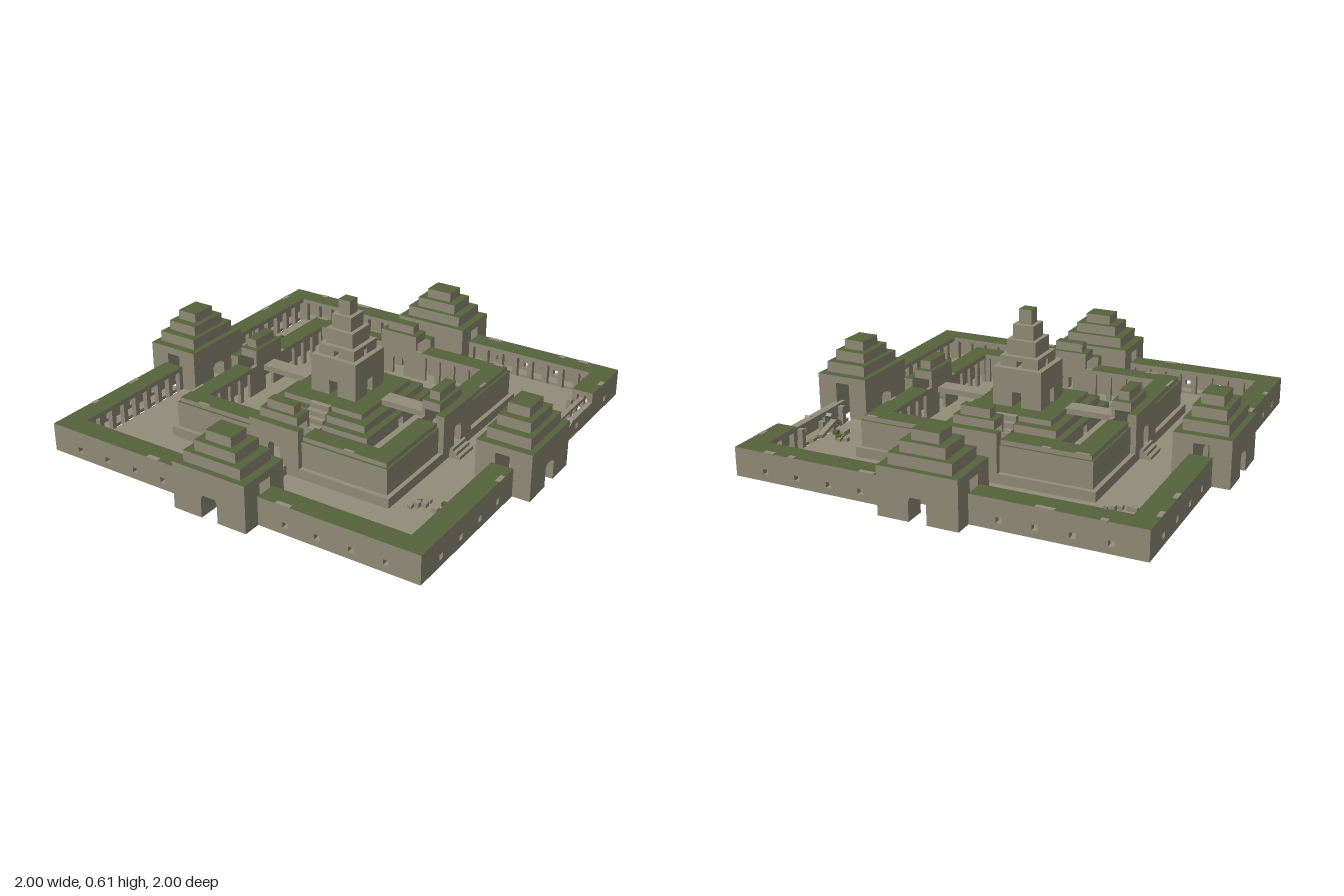
import * as THREE from 'three';

const stone = new THREE.MeshStandardMaterial({ color: 0x938d79 });
stone.name = 'stone';
const moss = new THREE.MeshStandardMaterial({ color: 0x56633c });
moss.name = 'moss';
const mossTop = [stone, stone, moss, stone, stone, stone];

function group(parent, name) {
  const g = new THREE.Group();
  g.name = name;
  parent.add(g);
  return g;
}

// Box given by its limits; material may be moss-topped
function block(parent, name, [x0, x1], [y0, y1], [z0, z1], material = stone) {
  const m = new THREE.Mesh(new THREE.BoxGeometry(x1 - x0, y1 - y0, z1 - z0), material);
  m.position.set((x0 + x1) / 2, (y0 + y1) / 2, (z0 + z1) / 2);
  m.name = name;
  parent.add(m);
  return m;
}

// Upright wall extruded along z from an outline, with rectangular window holes
function wall(parent, name, outline, [z0, z1], windows = []) {
  const shape = new THREE.Shape(outline.map(([x, y]) => new THREE.Vector2(x, y)));
  for (const [x0, x1, y0, y1] of windows) {
    shape.holes.push(new THREE.Path([[x0, y0], [x0, y1], [x1, y1], [x1, y0]].map(([x, y]) => new THREE.Vector2(x, y))));
  }
  const m = new THREE.Mesh(new THREE.ExtrudeGeometry(shape, { depth: z1 - z0, bevelEnabled: false }), stone);
  m.position.z = z0;
  m.name = name;
  parent.add(m);
}

// Wall with a doorway whose head is stepped
function doorWall(parent, w, [y0, y1], z, dw, dTop) {
  wall(parent, 'doorWall', [
    [-w, y0], [-dw, y0], [-dw, dTop - 0.018], [-dw * 0.75, dTop], [dw * 0.75, dTop],
    [dw, dTop - 0.018], [dw, y0], [w, y0], [w, y1], [-w, y1],
  ], z);
}

// Square storey pierced by crossing passages
function piercedStorey(parent, h, [y0, y1], gap, gapTop) {
  for (const sx of [-1, 1]) for (const sz of [-1, 1]) {
    const range = s => (s > 0 ? [gap, h] : [-h, -gap]);
    block(parent, 'cornerPier', range(sx), [y0, gapTop], range(sz));
  }
  block(parent, 'storeyTop', [-h, h], [gapTop, y1], [-h, h]);
}

function stairs(parent, w, [zTop, zEnd], [yBase, yTop], n) {
  const tread = (zEnd - zTop) / n, rise = (yTop - yBase) / n;
  for (let i = 0; i < n; i++) {
    block(parent, 'stairStep', [-w, w], [yBase, yTop - i * rise], [zTop + i * tread, zTop + (i + 1) * tread]);
  }
}

function pillars(parent, [x0, x1], y, z, spacing) {
  const n = Math.round((x1 - x0) / spacing);
  for (let i = 0; i <= n; i++) {
    const x = x0 + 0.012 + (x1 - x0 - 0.024) * i / n;
    block(parent, 'pillar', [x - 0.012, x + 0.012], y, z);
  }
}

// Outer gallery run along one side, facing +z
function outerRun(parent, [x0, x1], wallEnd) {
  const holes = [0.31, 0.46, 0.615, 0.77].map(x => x * Math.sign(x0))
    .filter(x => x > x0 + 0.02 && x < wallEnd - 0.02).map(x => [x - 0.0125, x + 0.0125, 0.03, 0.055]);
  wall(parent, 'outerWall', [[x0, 0], [wallEnd, 0], [wallEnd, 0.11], [x0, 0.11]], [0.895, 0.92], holes);
  block(parent, 'galleryFloor', [x0, x1], [0, 0.015], [0.845, 0.895]);
  block(parent, 'galleryRoof', [x0, x1], [0.11, 0.13], [0.82, 0.92], mossTop);
  pillars(parent, [Math.max(x0, -0.845), x1], [0, 0.11], [0.82, 0.845], 0.08);
}

// Collapsed stretch: low wall, no roof, fallen beams
function ruinedRun(parent, [x0, x1]) {
  const holes = [0.31, 0.46].map(x => [x - 0.0125, x + 0.0125, 0.03, 0.055]);
  wall(parent, 'brokenWall', [[x0, 0], [x1, 0], [x1, 0.085], [x0, 0.085]], [0.895, 0.92], holes);
  block(parent, 'galleryFloor', [x0, x1], [0, 0.015], [0.845, 0.895]);
  for (const [x, h] of [[0.25, 0.1], [0.33, 0.05], [0.41, 0.08], [0.49, 0.03], [0.57, 0.1]]) {
    block(parent, 'brokenPillar', [x - 0.012, x + 0.012], [0, h], [0.82, 0.845]);
  }
  block(parent, 'bareBeam', [x0, x1], [0.085, 0.1], [0.86, 0.88]);
  for (const [x, y, z, a] of [[0.36, 0.06, 0.91, 0.5], [0.42, 0.055, 0.8, -0.3], [0.3, 0.05, 0.84, 0.7]]) {
    const beam = block(parent, 'fallenBeam', [x - 0.06, x + 0.06], [y - 0.008, y + 0.008], [z - 0.014, z + 0.014]);
    beam.rotation.z = a;
  }
}

function gateTower(parent) {
  const g = group(parent, 'gateTower');
  doorWall(g, 0.18, [0, 0.18], [0.745, 0.835], 0.04, 0.105);
  doorWall(g, 0.18, [0, 0.18], [0.905, 1], 0.04, 0.105);
  block(g, 'towerCeiling', [-0.18, 0.18], [0.18, 0.215], [0.745, 1], mossTop);
  [[0.142, 0.1, 0.265], [0.102, 0.076, 0.312], [0.063, 0.05, 0.357]].forEach(([w, d, top], i) =>
    block(g, 'towerTier', [-w, w], [[0.215, 0.265, 0.312][i], top], [0.873 - d, 0.873 + d], mossTop));
}

function innerGate(parent) {
  const g = group(parent, 'innerGate');
  doorWall(g, 0.125, [0.06, 0.232], [0.525, 0.565], 0.03, 0.15);
  block(g, 'gateCoping', [-0.125, 0.125], [0.232, 0.237], [0.525, 0.565], mossTop);
  doorWall(g, 0.125, [0.06, 0.2], [0.44, 0.455], 0.03, 0.15);
  block(g, 'gateHeader', [-0.095, 0.095], [0.2, 0.235], [0.44, 0.455]);
  block(g, 'gateTier', [-0.095, 0.095], [0.235, 0.275], [0.44, 0.527], mossTop);
  block(g, 'gateCrown', [-0.068, 0.068], [0.275, 0.315], [0.46, 0.51], mossTop);
  stairs(g, 0.06, [0.56, 0.612], [0.015, 0.06], 3);
}

function innerRun(parent, [x0, x1], wallEnd, roofEnd) {
  const outerStart = Math.max(x0, -0.54);
  block(parent, 'innerWall', [outerStart, wallEnd], [0.06, 0.18], [0.51, 0.54], mossTop);
  block(parent, 'innerRoof', [Math.max(x0, -0.53), roofEnd], [0.18, 0.2], [0.44, 0.53], mossTop);
  pillars(parent, [Math.max(x0, -0.455), x1], [0.06, 0.18], [0.44, 0.455], 0.08);
}

// Bare stone patches on worn roof edges: [side, x, width]
const chips = [[0, -0.36, 0.06], [0, 0.3, 0.07], [1, -0.28, 0.05], [1, 0.74, 0.04], [2, 0.5, 0.08], [2, 0.74, 0.03],
  [2, -0.28, 0.07], [2, -0.64, 0.03], [2, -0.75, 0.05], [3, -0.78, 0.05], [3, -0.6, 0.05], [3, 0.42, 0.06], [3, 0.67, 0.03]];
const innerChips = [[2, 0.49, 0.06], [2, 0.33, 0.04], [2, -0.49, 0.05], [0, -0.4, 0.06], [0, 0.35, 0.05], [3, 0.42, 0.08], [1, 0.3, 0.05]];

export function createModel() {
  const model = new THREE.Group();
  model.name = 'templeComplex';

  block(model, 'courtyard', [-0.82, 0.82], [0, 0.015], [-0.82, 0.82]);
  block(model, 'middlePlinth', [-0.56, 0.56], [0.015, 0.06], [-0.56, 0.56]);

  // Four sides by quarter turns: 0 front, 1 left (+x), 2 back, 3 right
  for (let k = 0; k < 4; k++) {
    const side = group(model, 'side');
    side.rotation.y = k * Math.PI / 2;
    const outer = group(side, 'outerGallery');
    outerRun(outer, [-0.92, -0.18], -0.18);
    if (k === 1) {
      ruinedRun(outer, [0.18, 0.62]);
      outerRun(outer, [0.62, 0.82], 0.895);
    } else {
      outerRun(outer, [0.18, 0.82], 0.895);
    }
    gateTower(side);
    const inner = group(side, 'innerGallery');
    innerRun(inner, [-0.54, -0.125], -0.125, -0.125);
    innerRun(inner, [0.125, 0.44], 0.51, 0.44);
    innerGate(side);
    for (const [s, x, w] of chips) if (s === k) {
      block(side, 'wornEdge', [x - w / 2, x + w / 2], [0.123, 0.132], [0.9, 0.921]);
    }
    for (const [s, x, w] of innerChips) if (s === k) {
      block(side, 'wornEdge', [x - w / 2, x + w / 2], [0.193, 0.202], [0.518, 0.531]);
    }
    // Stairs on front and back, raised bridges on the flanks
    if (k % 2 === 0) stairs(side, 0.05, [0.205, 0.325], [0.06, 0.183], 5);
    else block(side, 'bridge', [-0.04, 0.04], [0.158, 0.184], [0.2, 0.45]);
  }

  // Stepped terrace with a low tunnel along x
  const terrace = group(model, 'terrace');
  for (const s of [-1, 1]) {
    block(terrace, 'terraceFoot', [-0.28, 0.28], [0.06, 0.1], s > 0 ? [0.02, 0.28] : [-0.28, -0.02]);
  }
  block(terrace, 'lowerTerrace', [-0.28, 0.28], [0.1, 0.12], [-0.28, 0.28], mossTop);
  block(terrace, 'middleTerrace', [-0.247, 0.247], [0.12, 0.155], [-0.247, 0.247], mossTop);
  block(terrace, 'upperTerrace', [-0.205, 0.205], [0.155, 0.18], [-0.205, 0.205], mossTop);

  // Central tower
  const tower = group(model, 'centralTower');
  piercedStorey(tower, 0.117, [0.18, 0.357], 0.022, 0.25);
  piercedStorey(tower, 0.092, [0.357, 0.405], 0.012, 0.385);
  block(tower, 'towerTier', [-0.07, 0.07], [0.405, 0.475], [-0.07, 0.07]);
  block(tower, 'towerTier', [-0.05, 0.05], [0.475, 0.54], [-0.05, 0.05]);
  block(tower, 'towerSummit', [-0.03, 0.03], [0.54, 0.607], [-0.03, 0.03], mossTop);

  // Rubble heaps
  const rubble = group(model, 'rubble');
  let seed = 7;
  const rand = () => (seed = (seed * 16807) % 2147483647) / 2147483647;
  for (const [cx, cz, sx, sz, y] of [[-0.68, -0.59, 0.09, 0.05, 0.015], [0.74, -0.4, 0.05, 0.06, 0.015],
    [0.67, 0.46, 0.08, 0.05, 0.015], [-0.33, 0.35, 0.06, 0.04, 0.06]]) {
    for (let i = 0; i < 8; i++) {
      const x = cx + (rand() * 2 - 1) * sx, z = cz + (rand() * 2 - 1) * sz, r = 0.007 + rand() * 0.007;
      block(rubble, 'fallenStone', [x - r, x + r], [y, y + r * 1.6], [z - r, z + r], i % 4 ? stone : moss);
    }
  }
  return model;
}
